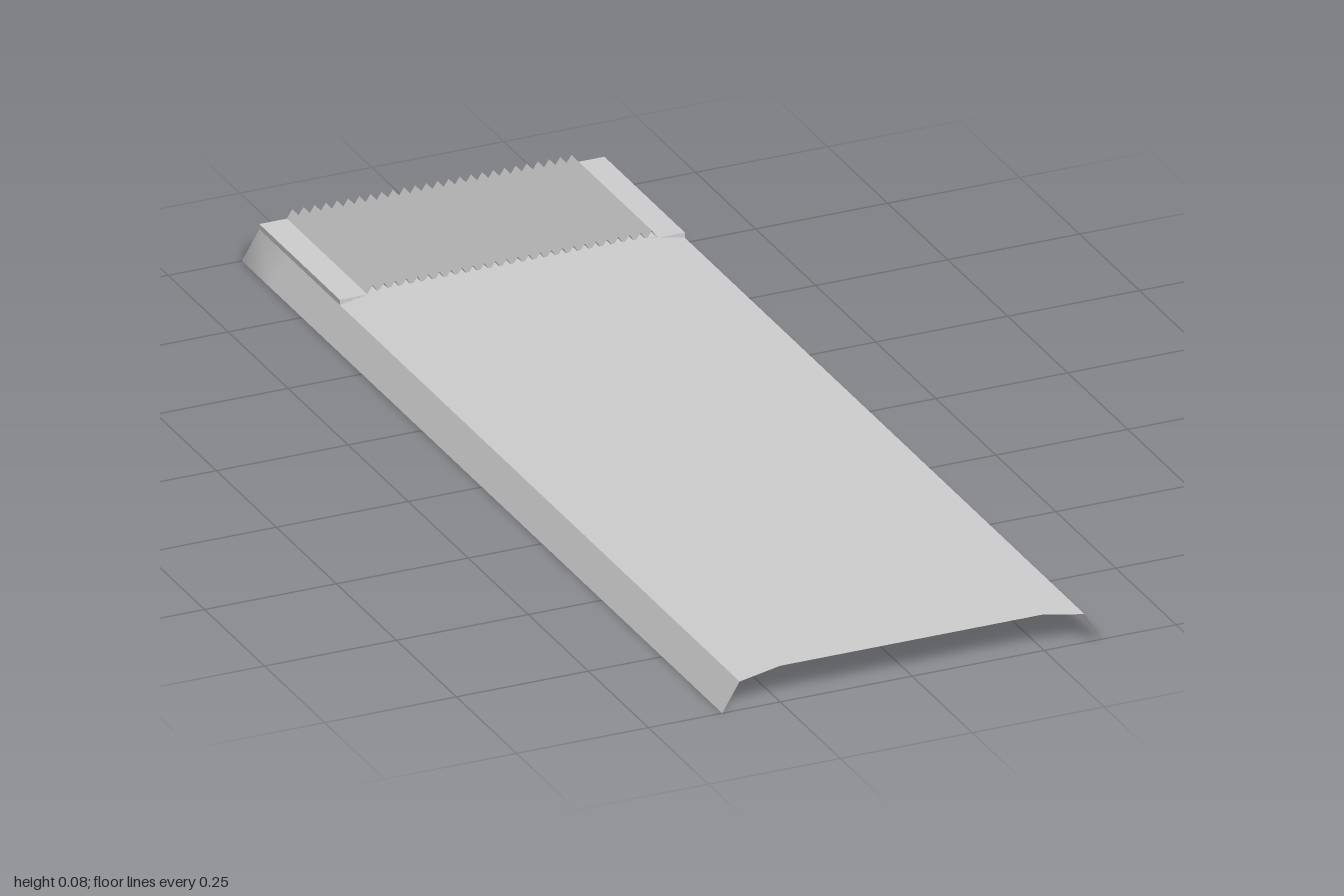
import * as THREE from 'three';

const material = new THREE.MeshStandardMaterial({ color: 0xcccccc, side: THREE.DoubleSide });

const BACK = -1, STEP = -0.665, FRONT = 1;
const EDGE = 0.327, EDGE_Y = 0.054, PLATE_Y = 0.064, TOP_Y = 0.069;

function addMesh(group, name, geometry) {
  const mesh = new THREE.Mesh(geometry, material);
  mesh.name = name;
  group.add(mesh);
}

// Open sheet: an [x, y] profile, running from -x to +x, swept along z with hard folds
function sheet(profile, z0, z1) {
  const pos = [];
  for (let i = 0; i < profile.length - 1; i++) {
    const [ax, ay] = profile[i], [bx, by] = profile[i + 1];
    pos.push(ax, ay, z0, ax, ay, z1, bx, by, z1, ax, ay, z0, bx, by, z1, bx, by, z0);
  }
  const geometry = new THREE.BufferGeometry();
  geometry.setAttribute('position', new THREE.Float32BufferAttribute(pos, 3));
  geometry.computeVertexNormals();
  return geometry;
}

// Flat upright panel from an [x, y] outline
function panel(outline, z) {
  const shape = new THREE.Shape(outline.map(([x, y]) => new THREE.Vector2(x, y)));
  return new THREE.ShapeGeometry(shape).translate(0, 0, z);
}

// Sloping sides and rear wall, lofted between a lower and an upper path, rounded in shading at the corners
function skirt() {
  const half = [[0.36, EDGE, FRONT], [0.36, EDGE, -0.88], [0.36, EDGE, BACK], [0.24, 0.24, BACK]];
  const path = [...half, ...half.map(([a, b, z]) => [-a, -b, z]).reverse()];
  const pos = [], index = [];
  path.forEach(([low, high, z], i) => {
    pos.push(low, 0, z, high, EDGE_Y, z);
    if (i < path.length - 1) {
      const a = 2 * i;
      index.push(a, a + 2, a + 1, a + 1, a + 2, a + 3);
    }
  });
  const geometry = new THREE.BufferGeometry();
  geometry.setAttribute('position', new THREE.Float32BufferAttribute(pos, 3));
  geometry.setIndex(index);
  geometry.computeVertexNormals();
  return geometry;
}

export function createModel() {
  const group = new THREE.Group();
  group.name = 'ribbedCover';

  addMesh(group, 'skirt', skirt());

  // Main deck with sloping shoulders
  const deck = [[-EDGE, EDGE_Y], [-0.25, TOP_Y], [0.25, TOP_Y], [EDGE, EDGE_Y]];
  addMesh(group, 'deck', sheet(deck, STEP, FRONT));

  // Flat rear plate with short upright edges
  const plate = [[-EDGE, EDGE_Y], [-EDGE, PLATE_Y], [EDGE, PLATE_Y], [EDGE, EDGE_Y]];
  addMesh(group, 'rearPlate', sheet(plate, BACK, STEP));
  addMesh(group, 'rearLip', panel(plate, BACK));

  // Step between deck and plate: a strip in the middle, a triangle at each side
  const cross = 0.276;
  addMesh(group, 'stepMiddle', panel([[-cross, PLATE_Y], [cross, PLATE_Y], [0.25, TOP_Y], [-0.25, TOP_Y]], STEP));
  for (const s of [-1, 1]) {
    addMesh(group, s > 0 ? 'stepLeft' : 'stepRight',
      panel([[s * cross, PLATE_Y], [s * EDGE, EDGE_Y], [s * EDGE, PLATE_Y]], STEP));
  }

  // Row of sharp, open-ended ridges
  const ribs = 26, halfWidth = 0.275, zigzag = [];
  for (let i = 0; i <= ribs * 2; i++) {
    zigzag.push([-halfWidth + (i * halfWidth) / ribs, i % 2 ? 0.08 : PLATE_Y + 0.0005]);
  }
  addMesh(group, 'ribs', sheet(zigzag, BACK, STEP));

  return group;
}
